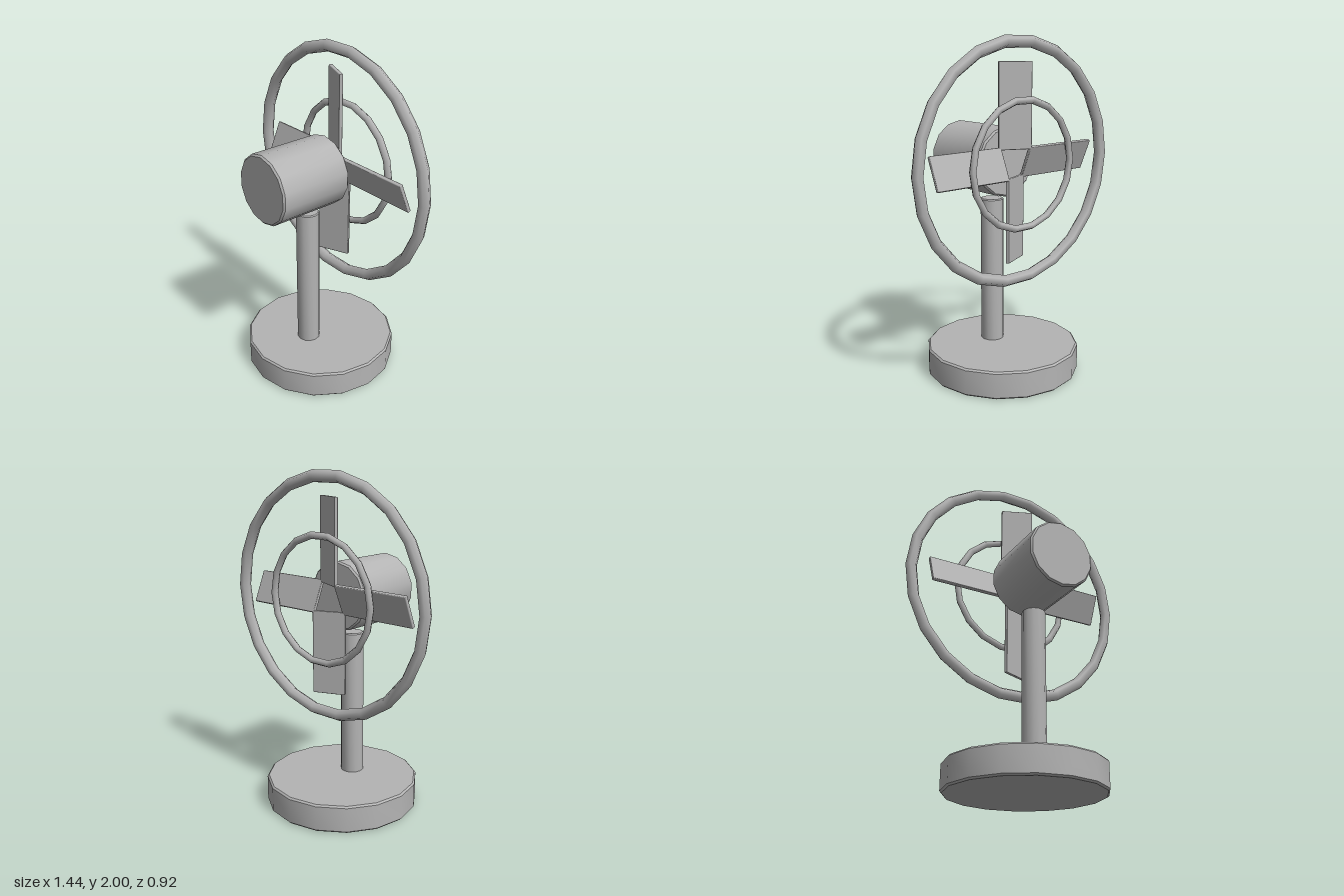
import * as THREE from 'three';
import { toCreasedNormals } from 'three/addons/utils/BufferGeometryUtils.js';
import { RoundedBoxGeometry } from 'three/addons/geometries/RoundedBoxGeometry.js';

const HUB_Y = 1.284;

// Upright cylinder with a small chamfer on both rims, standing on y = 0
function chamferedCylinder(radius, height, sides, c) {
  const profile = [
    [0, 0], [radius - c, 0], [radius, c],
    [radius, height - c], [radius - c, height], [0, height],
  ].map(([r, y]) => new THREE.Vector2(r, y));
  return toCreasedNormals(new THREE.LatheGeometry(profile, sides), 0.6);
}

export function createModel() {
  const model = new THREE.Group();
  model.name = 'deskFan';
  const grey = new THREE.MeshStandardMaterial({ color: 0xb4b4b4 });
  grey.name = 'plain grey';

  function add(name, geometry, x, y, z, parent = model) {
    const mesh = new THREE.Mesh(geometry, grey);
    mesh.name = name;
    mesh.position.set(x, y, z);
    parent.add(mesh);
    return mesh;
  }

  // Round foot and off-centre post
  add('base', chamferedCylinder(0.459, 0.165, 16, 0.01), 0, 0, 0);
  add('post', chamferedCylinder(0.069, 0.93, 12, 0.006), 0, 0.12, 0.095);

  // Motor drum lying along z
  const drum = chamferedCylinder(0.206, 0.457, 14, 0.01);
  drum.rotateX(-Math.PI / 2);
  add('motor', drum, 0, HUB_Y - 0.002, 0.415);

  // Guard rings
  add('outerGuardRing', new THREE.TorusGeometry(0.687, 0.035, 6, 22), 0, HUB_Y, -0.135);
  add('innerGuardRing', new THREE.TorusGeometry(0.367, 0.021, 6, 18), 0, HUB_Y - 0.002, -0.187);

  // Four blades; neighbouring blades are pitched opposite ways
  const inner = 0.078, outer = 0.573;
  const bladeGeometry = new RoundedBoxGeometry(outer - inner, 0.198, 0.022, 1, 0.005);
  const blades = new THREE.Group();
  blades.name = 'blades';
  blades.position.set(0, HUB_Y, -0.111);
  model.add(blades);
  for (let i = 0; i < 4; i++) {
    const arm = new THREE.Group();
    arm.name = 'bladeArm';
    arm.rotation.z = i * Math.PI / 2;
    blades.add(arm);
    const blade = add('blade', bladeGeometry, (inner + outer) / 2, 0, 0, arm);
    blade.rotation.x = i % 2 ? -0.4 : 0.4;
  }
  return model;
}
